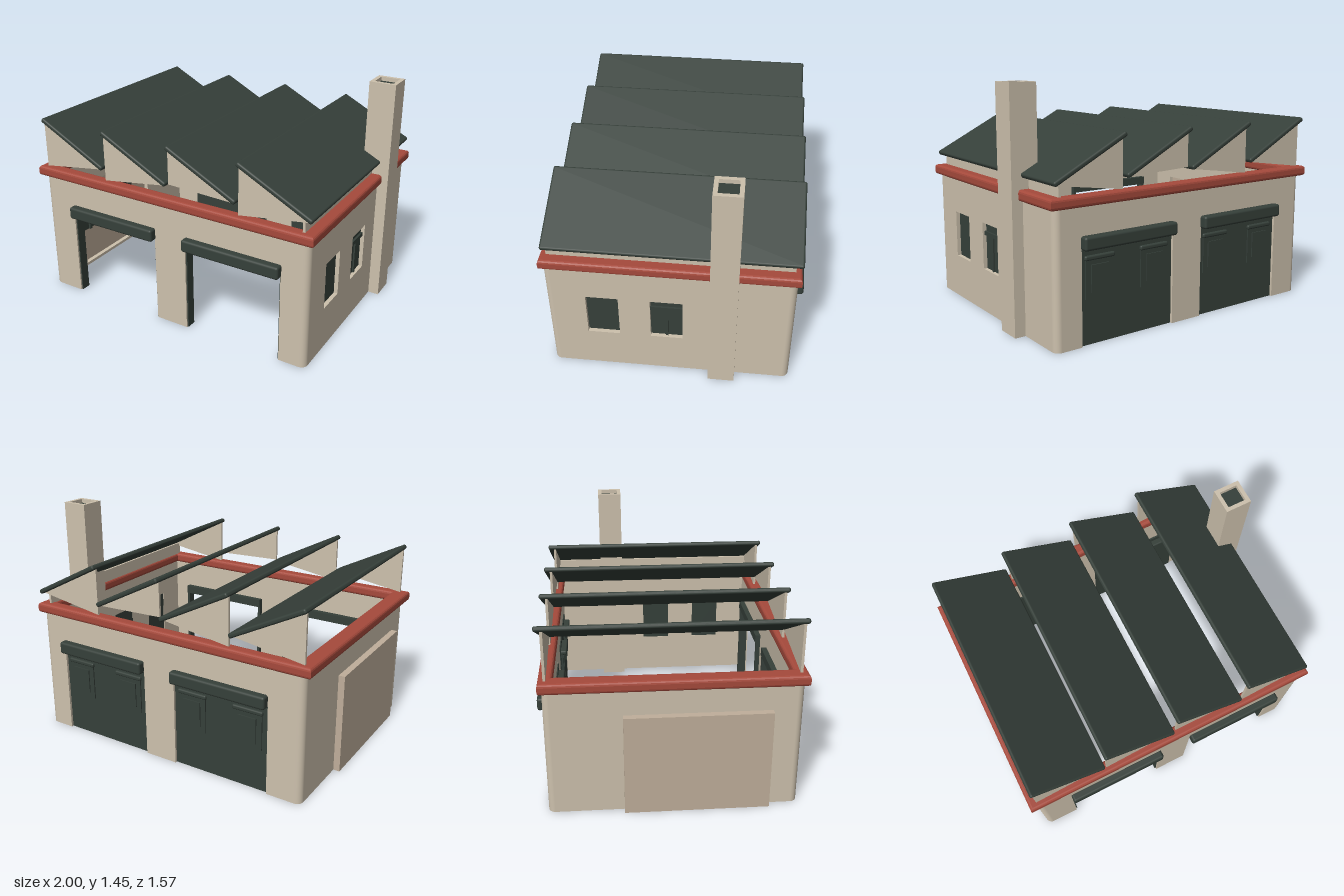
import * as THREE from 'three';
import { RoundedBoxGeometry } from 'three/addons/geometries/RoundedBoxGeometry.js';

const mat = (name, color) => {
  const m = new THREE.MeshStandardMaterial({ color });
  m.name = name;
  return m;
};

export function createModel() {
  const model = new THREE.Group();
  model.name = 'sawtoothWorkshop';
  const cream = mat('creamPlaster', 0xcdc1ad);
  const tan = mat('tanShutter', 0xc0af9b);
  const green = mat('darkGreen', 0x36403a);
  const red = mat('brickRed', 0xa64a3c);

  const add = (name, geometry, material) => {
    const mesh = new THREE.Mesh(geometry, material);
    mesh.name = name;
    model.add(mesh);
    return mesh;
  };
  // Box given by its lower and upper limits on each axis
  const box = (name, material, x0, x1, y0, y1, z0, z1, radius = 0) => {
    const s = [x1 - x0, y1 - y0, z1 - z0];
    const g = radius ? new RoundedBoxGeometry(...s, 3, radius) : new THREE.BoxGeometry(...s);
    g.translate((x0 + x1) / 2, (y0 + y1) / 2, (z0 + z1) / 2);
    return add(name, g, material);
  };
  const rect = (Type, x0, x1, y0, y1) => new Type([
    new THREE.Vector2(x0, y0), new THREE.Vector2(x1, y0),
    new THREE.Vector2(x1, y1), new THREE.Vector2(x0, y1),
  ]);
  const extrude = (shape, depth) => new THREE.ExtrudeGeometry(shape, { depth, bevelEnabled: false });

  const X0 = -0.96, X1 = 0.93, Z = 0.735, H = 0.82, T = 0.04;
  const bays = [[-0.74, -0.1], [0.12, 0.76]];
  const bayTop = 0.56;

  // Front and back walls with two door bays open to the ground
  const bayOutline = [[X0 + T, 0]];
  for (const [a, b] of bays) bayOutline.push([a, 0], [a, bayTop], [b, bayTop], [b, 0]);
  bayOutline.push([X1 - T, 0], [X1 - T, H], [X0 + T, H]);
  const bayWall = new THREE.Shape(bayOutline.map(p => new THREE.Vector2(...p)));
  add('frontWall', extrude(bayWall, T), cream).position.z = Z - T;
  add('backWall', extrude(bayWall, T), cream).position.z = -Z;

  // Side walls: two window holes on one, a covered opening on the other
  const sideWall = (name, x, holes) => {
    const shape = rect(THREE.Shape, -Z + T, Z - T, 0, H);
    for (const h of holes) shape.holes.push(rect(THREE.Path, ...h));
    const g = extrude(shape, T);
    g.rotateY(-Math.PI / 2);
    add(name, g, cream).position.x = x;
  };
  sideWall('leftWall', X1, [[0.305, 0.5, 0.275, 0.57], [-0.08, 0.115, 0.275, 0.57]]);
  sideWall('rightWall', X0 + T, [[-0.27, 0.54, 0.02, 0.61]]);

  // Dark panes recessed in the window holes, one with glazing bars
  for (const z of [0.4025, 0.0175]) {
    box('windowPane', green, 0.893, 0.905, 0.27, 0.575, z - 0.1, z + 0.1);
  }
  box('windowBar', green, 0.905, 0.915, 0.275, 0.49, 0.01, 0.025);
  box('windowRail', green, 0.905, 0.918, 0.49, 0.515, -0.08, 0.115);

  // Rounded vertical corners
  [[X1 - T, Z - T, 0], [X1 - T, -Z + T, 1], [X0 + T, -Z + T, 2], [X0 + T, Z - T, 3]]
    .forEach(([x, z, quarter]) => {
      const g = new THREE.CylinderGeometry(T, T, H, 6, 1, false, quarter * Math.PI / 2, Math.PI / 2);
      add('wallCorner', g, cream).position.set(x, H / 2, z);
    });

  // Large shutter over the side opening, with two dark panes inside
  box('sideShutter', tan, -1, -0.95, 0, 0.63, -0.29, 0.56);
  for (const z of [0.4, 0.015]) {
    box('sidePane', green, -0.955, -0.93, 0.27, 0.57, z - 0.105, z + 0.105);
    box('sidePaneBar', green, -0.93, -0.915, 0.27, 0.5, z - 0.01, z + 0.01);
    box('sidePaneHood', green, -0.935, -0.89, 0.5, 0.53, z - 0.105, z + 0.105, 0.01);
  }

  for (const [a, b] of bays) {
    // Header boxes outside both walls
    for (const s of [-1, 1]) {
      const zs = [s * 0.725, s * 0.783].sort((p, q) => p - q);
      box('doorHeader', green, a, b + 0.005, 0.553, 0.632, ...zs, 0.015);
    }
    // Dark frame lining the open front bay
    box('frameJamb', green, a - 0.01, a + 0.008, 0, bayTop, 0.665, 0.725);
    box('frameJamb', green, b - 0.008, b + 0.01, 0, bayTop, 0.665, 0.725);
    box('frameLintel', green, a - 0.01, b + 0.01, 0.553, 0.61, 0.66, 0.725);
    // Closed back door with two hooded windows
    box('backDoor', green, a, b, 0, 0.546, -0.72, -0.69);
    for (const x of [a + 0.135, b - 0.125]) {
      box('doorPane', green, x - 0.095, x + 0.095, 0.265, 0.5, -0.728, -0.675);
      box('doorPaneInset', green, x - 0.06, x + 0.06, 0.3, 0.46, -0.735, -0.67);
      box('doorPaneHood', green, x - 0.1, x + 0.1, 0.485, 0.513, -0.735, -0.65, 0.01);
    }
  }

  // Red cornice ring with softened edges
  const bevel = 0.018;
  const ring = rect(THREE.Shape, -1 + bevel, 0.957 - bevel, -0.752 + bevel, 0.752 - bevel);
  ring.holes.push(rect(THREE.Path, X0 + 0.045, X1 - 0.045, -Z + 0.045, Z - 0.045));
  const ringGeometry = new THREE.ExtrudeGeometry(ring, {
    depth: 0.065 - 2 * bevel, bevelSize: bevel, bevelThickness: bevel, bevelSegments: 3,
  });
  ringGeometry.rotateX(-Math.PI / 2);
  add('cornice', ringGeometry, red).position.y = 0.79 + bevel;

  // Sawtooth roof: sloping slabs on thin gables, tall sides left open
  for (let i = 0; i < 4; i++) {
    const x = -0.95 + i * 0.475;
    const run = 0.452, drop = 0.232, length = Math.hypot(run, drop) + 0.018;
    const slab = add('roofSlab', new RoundedBoxGeometry(length, 0.03, 1.49, 3, 0.012), green);
    slab.position.set(x + run / 2, 1.165 - drop / 2, -0.01);
    slab.rotation.z = -Math.atan2(drop, run);
    const low = i === 2 ? 0.935 : 0.855;
    const gable = new THREE.Shape([
      new THREE.Vector2(x, low), new THREE.Vector2(x + run - 0.01, 0.92),
      new THREE.Vector2(x + run - 0.01, 0.935), new THREE.Vector2(x, 1.16),
    ]);
    for (const z of [0.7, -0.72]) add('gable', extrude(gable, 0.015), cream).position.z = z;
  }
  // Low upstand beneath the last eave
  box('eaveUpstand', cream, 0.875, 0.89, 0.83, 0.935, -0.715, 0.715);

  // Hollow square chimney with a dark flue just below the rim
  const stack = rect(THREE.Shape, 0.83, 0.998, 0.24, 0.402);
  stack.holes.push(rect(THREE.Path, 0.855, 0.973, 0.265, 0.377));
  const stackGeometry = extrude(stack, 1.445);
  stackGeometry.rotateX(-Math.PI / 2);
  add('chimney', stackGeometry, cream);
  box('chimneyFlue', green, 0.855, 0.973, 0.01, 1.42, -0.377, -0.265);

  return model;
}
